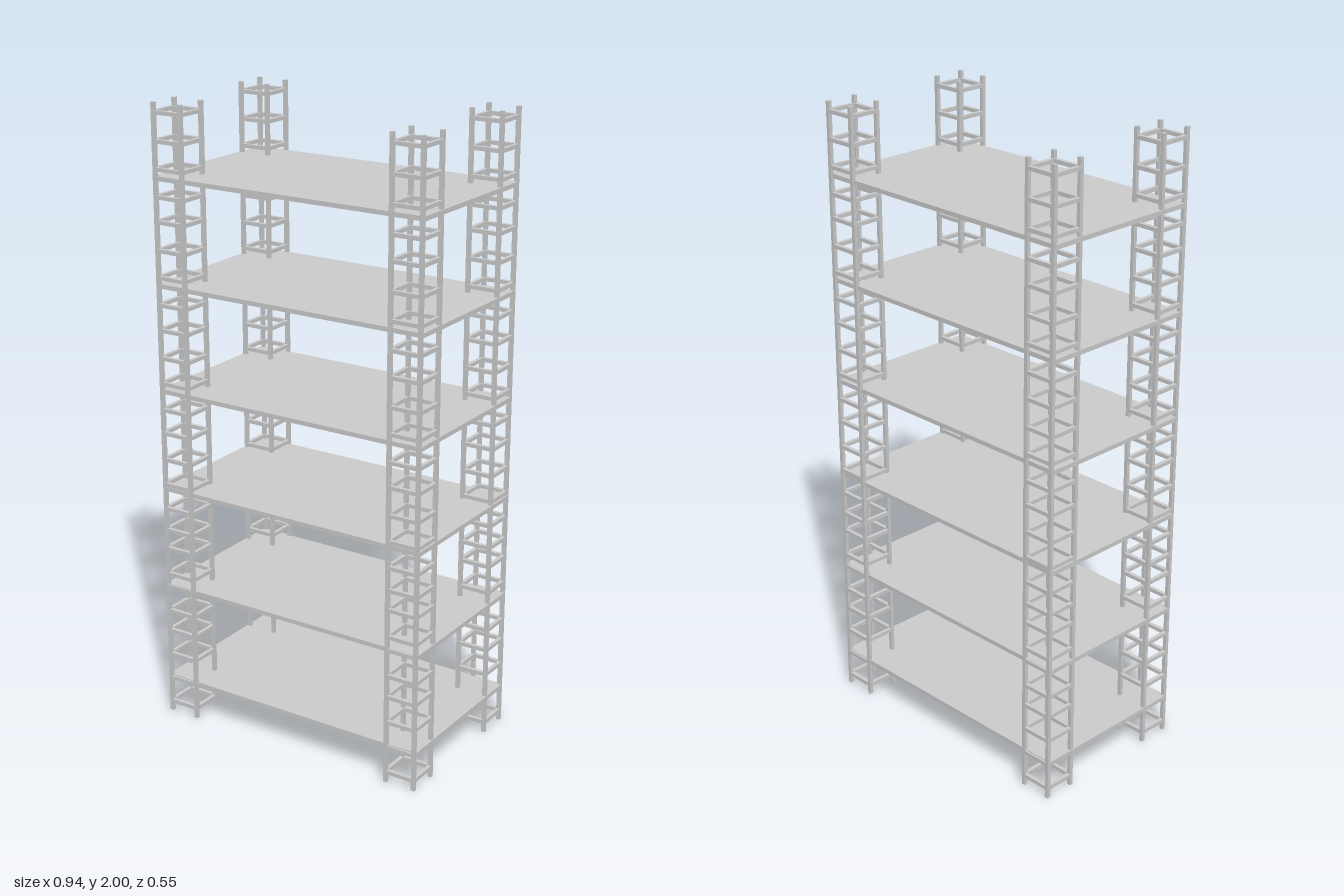
import * as THREE from 'three';

const BAR = 0.012; // thickness of posts and rungs
const TOWER = 0.111; // outer width of a lattice tower
const HEIGHT = 2;
const SHELVES = [0.122, 0.447, 0.78, 1.104, 1.441, 1.772];
const RUNGS = [0.034, 0.12, 0.205, 0.29, 0.36, 0.447, 0.49, 0.578, 0.642, 0.715, 0.797, 0.88,
  0.968, 1.045, 1.131, 1.213, 1.302, 1.382, 1.468, 1.552, 1.64, 1.716, 1.8, 1.884, 1.97];

export function createModel() {
  const group = new THREE.Group();
  group.name = 'shelvingRack';
  const material = new THREE.MeshStandardMaterial({ color: 0xcccccc, flatShading: true });

  const addBox = (parent, name, size, position) => {
    const mesh = new THREE.Mesh(new THREE.BoxGeometry(...size), material);
    mesh.position.set(...position);
    mesh.name = name;
    parent.add(mesh);
  };

  // Square lattice tower: four posts joined by rings of rungs
  const createTower = () => {
    const tower = new THREE.Group();
    const r = (TOWER - BAR) / 2;
    const span = TOWER - 2 * BAR;
    for (const sx of [-1, 1]) {
      for (const sz of [-1, 1]) addBox(tower, 'post', [BAR, HEIGHT, BAR], [sx * r, HEIGHT / 2, sz * r]);
    }
    for (const y of RUNGS) {
      for (const s of [-1, 1]) {
        addBox(tower, 'rung', [span, BAR, BAR], [0, y, s * r]);
        addBox(tower, 'rung', [BAR, BAR, span], [s * r, y, 0]);
      }
    }
    return tower;
  };

  // One tower at each corner
  for (const [side, sx] of [['Left', 1], ['Right', -1]]) {
    for (const [end, sz] of [['front', 1], ['back', -1]]) {
      const tower = createTower();
      tower.name = `${end}${side}Tower`;
      tower.position.set(sx * (0.468 - TOWER / 2), 0, sz * (0.273 - TOWER / 2));
      group.add(tower);
    }
  }

  // Flat shelves running through the towers
  SHELVES.forEach((y, i) => addBox(group, `shelf${i + 1}`, [0.94, 0.014, 0.534], [0, y, 0]));

  return group;
}
